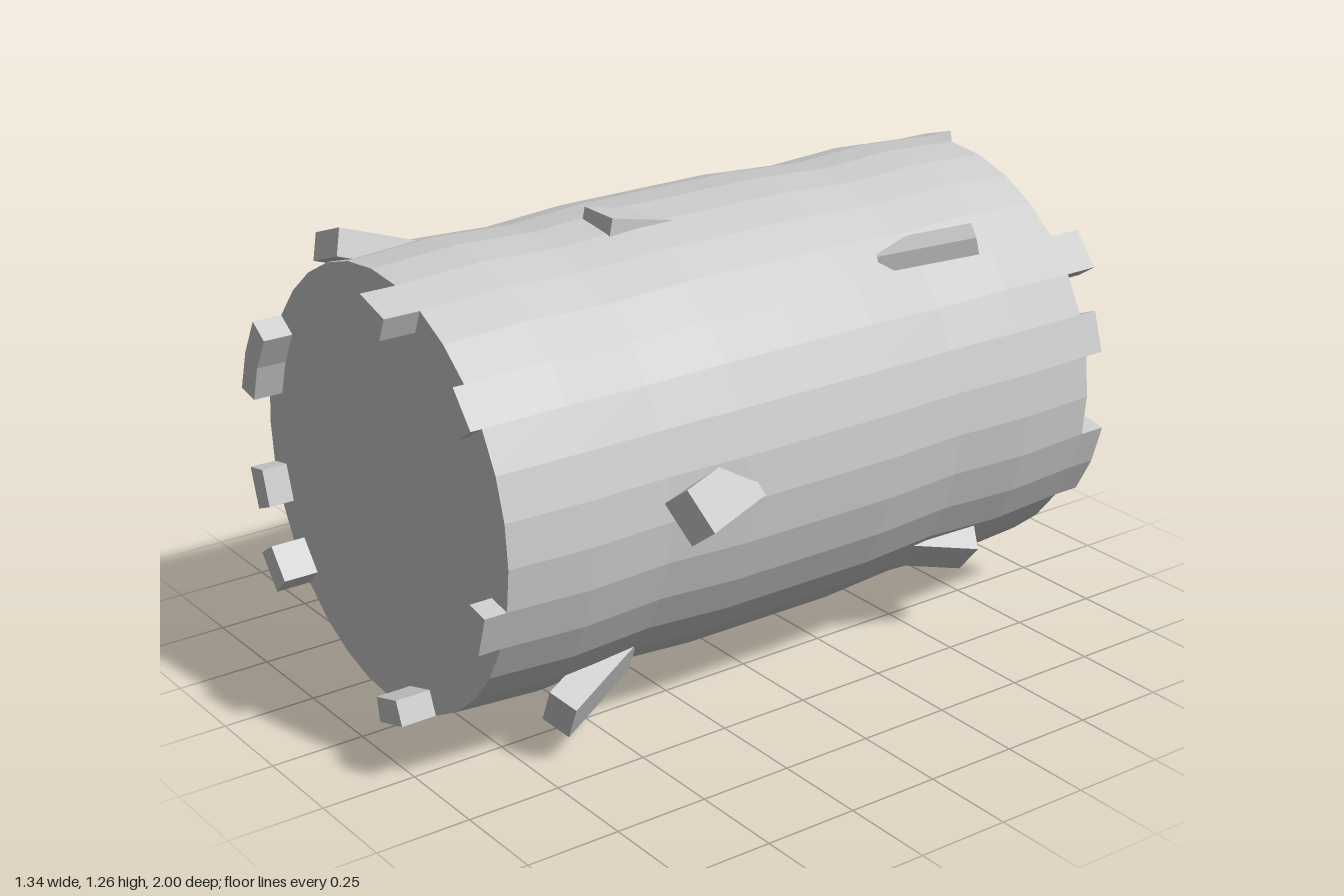
import * as THREE from 'three';

const CX = -0.015, CY = 0.643, END = 0.905, SIDES = 32, RIM = 0.565;
const rad = THREE.MathUtils.degToRad;

export function createModel() {
  const model = new THREE.Group();
  model.name = 'bale';
  const material = new THREE.MeshStandardMaterial({ color: 0xcccccc, flatShading: true });

  const add = (name, geometry) => {
    const mesh = new THREE.Mesh(geometry, material);
    mesh.name = name;
    model.add(mesh);
    return mesh;
  };

  // Rolled body: a closed lathe, slightly pinched between three bulges
  const radii = [RIM, 0.578, 0.568, 0.582, 0.582, 0.582, 0.568, 0.578, RIM];
  const profile = radii.map((r, i) => new THREE.Vector2(r, -END + (i * 2 * END) / 8));
  profile.unshift(new THREE.Vector2(0, -END));
  profile.push(new THREE.Vector2(0, END));
  const body = add('baleBody', new THREE.LatheGeometry(profile, SIDES).rotateX(Math.PI / 2));
  body.position.set(CX, CY, 0);

  // Rim tufts: single facets of the rim pulled out of each end
  const rimTuft = (name, facet, depth, side) => {
    const step = (2 * Math.PI) / SIDES;
    const a = facet * step, b = a + step;
    const corner = (r, t) => new THREE.Vector2(r * Math.cos(t), r * Math.sin(t));
    const shape = new THREE.Shape([corner(0.5, a), corner(RIM, a), corner(RIM, b), corner(0.5, b)]);
    const geometry = new THREE.ExtrudeGeometry(shape, { depth, bevelEnabled: false });
    add(name, geometry).position.set(CX, CY, side > 0 ? END : -END - depth);
  };
  // [facet number counted from +x, length]
  const frontTufts = [[6, 0.095], [3, 0.03], [-2, 0.06], [-7, 0.095], [19, 0.095], [17, 0.07], [13, 0.08], [14, 0.08]];
  const backTufts = [[9, 0.095], [3, 0.095], [1, 0.055], [-2, 0.075], [-3, 0.075], [-10, 0.095], [19, 0.03], [14, 0.065]];
  frontTufts.forEach(([f, d]) => rimTuft('frontRimTuft', f, d, 1));
  backTufts.forEach(([f, d]) => rimTuft('backRimTuft', f, d, -1));

  // Side tufts: slanted blocks rooted inside the body
  // [tip centre, root centre, direction of the outer face in degrees, thickness]
  const sideTufts = [
    [[-0.22, 1.215, 0.91], [-0.2, 1.145, 0.7], 110, 0.07],
    [[0.05, 1.22, 0.31], [0.05, 1.175, 0.1], 90, 0.06],
    [[0.455, 1.12, -0.57], [0.31, 1.07, -0.37], 90, 0.045],
    [[0.61, 0.67, 0.44], [0.52, 0.68, 0.22], 35, 0.08],
    [[0.44, 0.25, -0.6], [0.37, 0.29, -0.4], -42, 0.07],
    [[0.405, 0.14, 0.68], [0.33, 0.22, 0.45], -30, 0.08],
    [[-0.035, 0.04, 0.34], [-0.035, 0.09, 0.62], -84, 0.05],
    [[-0.03, 0.035, -0.76], [-0.03, 0.09, -0.48], -86, 0.05],
    [[-0.585, 0.44, -0.38], [-0.51, 0.47, -0.56], 203, 0.07],
    [[-0.61, 0.64, 0.61], [-0.53, 0.64, 0.43], 205, 0.08],
    [[-0.515, 1.0, -0.13], [-0.43, 0.96, -0.3], 143, 0.06],
    [[-0.35, 0.15, 0.17], [-0.3, 0.2, -0.05], 237, 0.06],
  ];
  for (const [tip, root, angle, thickness] of sideTufts) {
    const end = new THREE.Vector3(...tip), start = new THREE.Vector3(...root);
    const along = end.clone().sub(start);
    const length = along.length();
    along.normalize();
    const out = new THREE.Vector3(Math.cos(rad(angle)), Math.sin(rad(angle)), 0);
    const across = new THREE.Vector3().crossVectors(out, along).normalize();
    out.crossVectors(along, across);
    const tuft = add('sideTuft', new THREE.BoxGeometry(0.12, thickness, length));
    tuft.quaternion.setFromRotationMatrix(new THREE.Matrix4().makeBasis(across, out, along));
    tuft.position.copy(start).lerp(end, 0.5);
  }

  return model;
}
